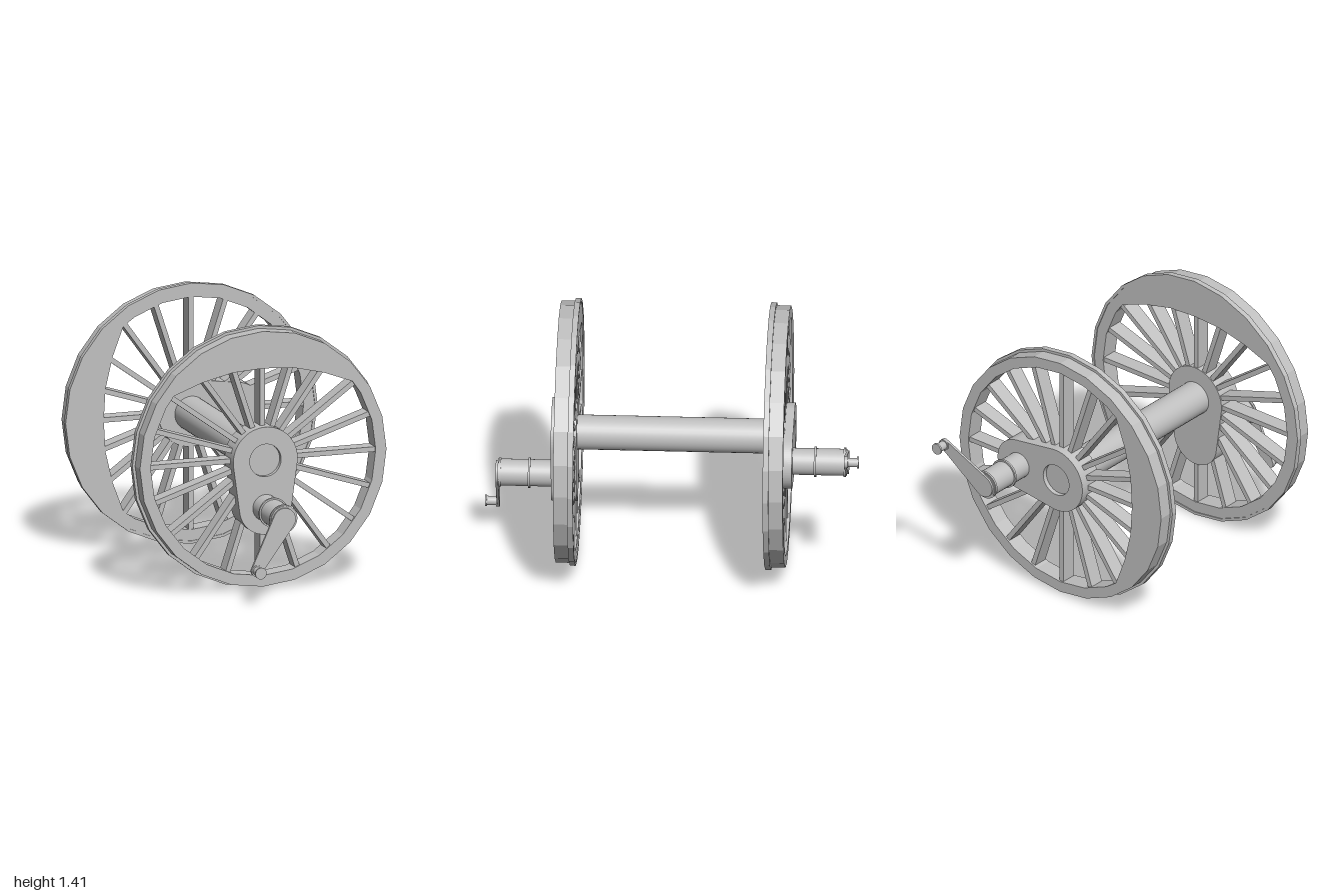
import * as THREE from 'three';

const steel = new THREE.MeshStandardMaterial({ color: 0xc0c0c0 });
steel.name = 'grey steel';

const AXLE_Y = 0.705;
const SPOKES = 20, SIDES = 24;
const CRANK = 0.255; // axle to crank pin

function add(parent, name, geometry) {
  const mesh = new THREE.Mesh(geometry, steel);
  mesh.name = name;
  parent.add(mesh);
  return mesh;
}

// Cylinder along z from z0 to z1
function rod(parent, name, r, z0, z1, x = 0, y = 0) {
  const g = new THREE.CylinderGeometry(r, r, z1 - z0, 32).rotateX(Math.PI / 2);
  add(parent, name, g).position.set(x, y, (z0 + z1) / 2);
}

// Flat plate from z0 to z1
function plate(parent, name, shape, z0, z1) {
  const g = new THREE.ExtrudeGeometry(shape, { depth: z1 - z0, bevelEnabled: false, curveSegments: 20 });
  const mesh = add(parent, name, g);
  mesh.position.z = z0;
  return mesh;
}

function polygon(r) {
  return Array.from({ length: SIDES }, (_, i) => {
    const a = (i / SIDES) * Math.PI * 2;
    return new THREE.Vector2(r * Math.cos(a), r * Math.sin(a));
  });
}

// Two circles joined by tangents, the second one a distance d below the first
function teardrop(r1, r2, d) {
  const t = Math.asin((r1 - r2) / d);
  const s = new THREE.Shape();
  s.absarc(0, 0, r1, -t, Math.PI + t, false);
  s.absarc(0, -d, r2, Math.PI + t, 2 * Math.PI - t, false);
  s.closePath();
  return s;
}

// One wheel facing +z, crank pointing down and counterweight at the top
function wheel(name) {
  const w = new THREE.Group();
  w.name = name;

  // Rim and counterweight in one piece, around the spoked opening
  const opening = polygon(0.63).filter((p) => p.y < 0.33);
  const start = opening.findIndex((p, i) => i > 0 && p.x < 0 && p.y > 0);
  const ordered = opening.slice(start).concat(opening.slice(0, start));
  const edge = [[0.5, 0.38], [0.34, 0.44], [0.17, 0.48], [0, 0.49], [-0.17, 0.48], [-0.34, 0.44], [-0.5, 0.38]]
    .map(([x, y]) => new THREE.Vector2(x, y));
  const rim = new THREE.Shape(polygon(0.69));
  rim.holes.push(new THREE.Path([...ordered, ...edge]));
  plate(w, 'rimWithCounterweight', rim, 0.505, 0.605);

  // Flange on the inner side
  const flange = new THREE.Shape(polygon(0.705));
  flange.holes.push(new THREE.Path(polygon(0.69)));
  plate(w, 'flange', flange, 0.5, 0.53);

  // Spokes
  for (let i = 0; i < SPOKES; i++) {
    const g = new THREE.BoxGeometry(0.49, 0.027, 0.084).translate(0.39, 0, 0.553);
    add(w, 'spoke', g).rotation.z = (i / SPOKES) * Math.PI * 2;
  }

  // Hub with a recess for the axle end
  const hub = teardrop(0.18, 0.145, CRANK);
  const bore = new THREE.Path();
  bore.absarc(0, 0, 0.088, 0, Math.PI * 2, true);
  hub.holes.push(bore);
  plate(w, 'hub', hub, 0.505, 0.64);

  // Crank pin with collars
  rod(w, 'crankPin', 0.071, 0.63, 0.925, 0, -CRANK);
  rod(w, 'crankPinRing', 0.08, 0.753, 0.765, 0, -CRANK);
  rod(w, 'crankPinCollar', 0.077, 0.908, 0.92, 0, -CRANK);

  // Return crank and its small pin
  const dx = -0.155, dy = -0.265;
  const arm = plate(w, 'returnCrank', teardrop(0.062, 0.031, Math.hypot(dx, dy)), 0.922, 0.936);
  arm.position.y = -CRANK;
  arm.rotation.z = Math.atan2(dx, -dy);
  const px = dx, py = dy - CRANK;
  rod(w, 'returnPin', 0.024, 0.93, 0.995, px, py);
  rod(w, 'returnPinBase', 0.031, 0.93, 0.942, px, py);
  rod(w, 'returnPinCap', 0.031, 0.99, 1.0, px, py);
  return w;
}

export function createModel() {
  const model = new THREE.Group();
  model.name = 'wheelset';
  const assembly = new THREE.Group();
  assembly.name = 'axleAssembly';
  assembly.position.y = AXLE_Y;
  model.add(assembly);

  rod(assembly, 'axle', 0.092, -0.615, 0.615);
  assembly.add(wheel('frontWheel'));

  // Opposite wheel, a quarter turn apart
  const back = wheel('backWheel');
  back.rotation.set(0, Math.PI, Math.PI / 2, 'ZYX');
  assembly.add(back);
  return model;
}
